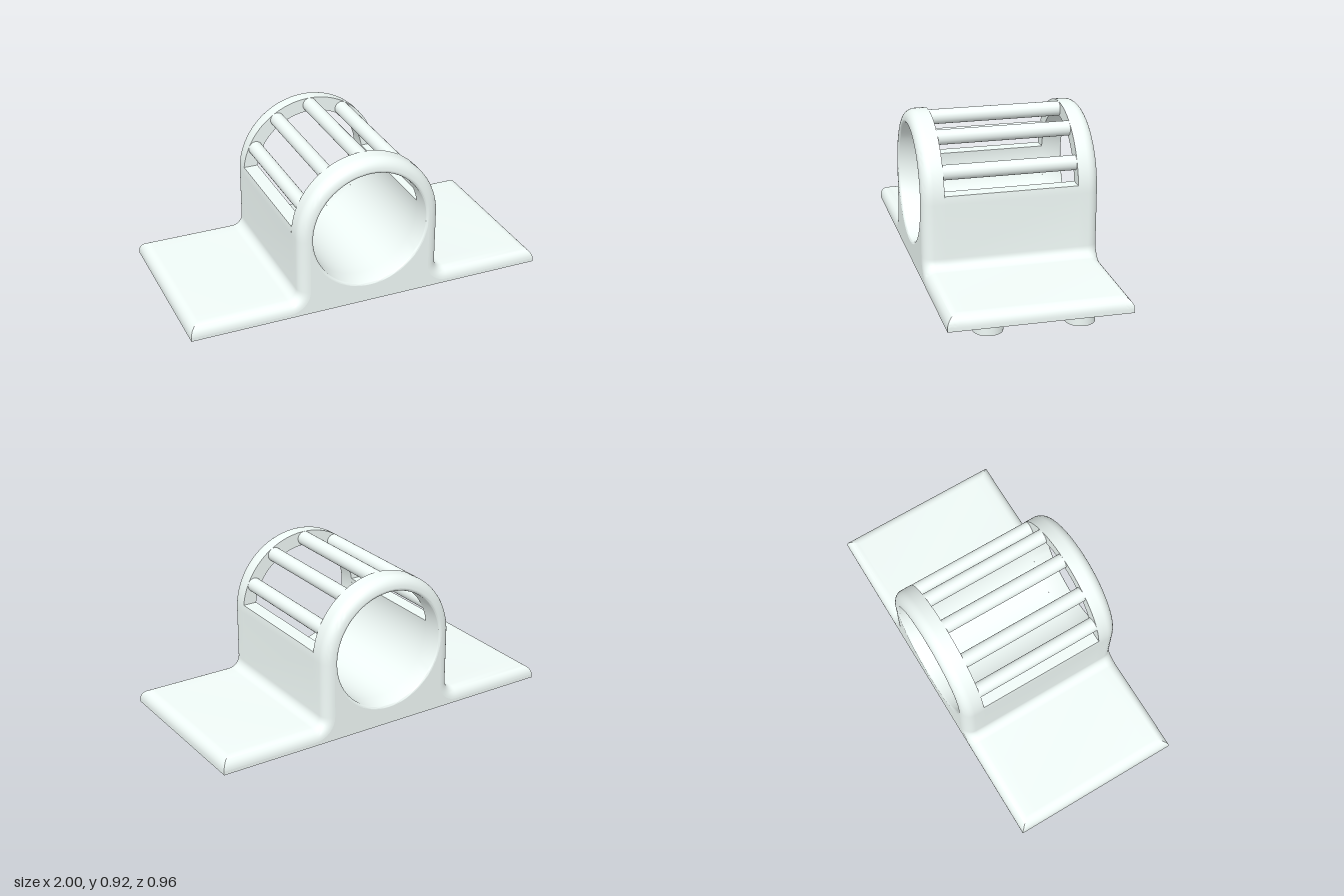
import * as THREE from 'three';
import { toCreasedNormals } from 'three/addons/utils/BufferGeometryUtils.js';

const material = new THREE.MeshStandardMaterial({ color: 0xf0faf7 });
const END = 0.478, SLOT = 0.36;              // half depth, half slot length
const BASE = 0.083, TOP = 0.162;             // plate underside and top
const R = 0.06, FILLET = 0.055, LIP = 0.015; // edge roundings
const CY = 0.515, OUTER = 0.4, BORE = 0.322; // barrel
const SILL = 0.56;                           // top of the side walls

const V = (x, y) => new THREE.Vector2(x, y);

function arc(cx, cy, r, from, to, n) {
  return Array.from({ length: n + 1 }, (_, i) => {
    const a = from + (to - from) * i / n;
    return V(cx + r * Math.cos(a), cy + r * Math.sin(a));
  });
}

// Completes a right-hand half outline with its mirror image
function mirrored(half) {
  const left = half.map(p => V(-p.x, p.y)).reverse();
  return [...half, ...left.filter(p => Math.abs(p.x) > 1e-6)];
}

// Plate end, plate top and fillet up to the barrel wall, inset by d
function plateSide(d) {
  return [
    V(1, BASE),
    ...arc(1 - R, TOP - R, R, 0, Math.asin(1 - d / R), 8),
    ...arc(OUTER + FILLET, TOP + FILLET, FILLET + d, Math.PI * 1.5, Math.PI, 8),
  ];
}

const outline = d => mirrored([...plateSide(d), ...arc(0, CY, OUTER - d, 0, Math.PI / 2, 24)]);
const bore = r => arc(0, CY, r, Math.PI * 2, 0, 72).slice(0, -1);

// Skins a stack of matching closed rings along z
function loft(rings) {
  const pos = [];
  const put = (ring, i) => {
    const p = ring.pts[i % ring.pts.length];
    pos.push(p.x, p.y, ring.z);
  };
  for (let k = 0; k < rings.length - 1; k++) {
    const a = rings[k], b = rings[k + 1];
    for (let i = 0; i < a.pts.length; i++) {
      put(a, i); put(a, i + 1); put(b, i + 1);
      put(a, i); put(b, i + 1); put(b, i);
    }
  }
  const g = new THREE.BufferGeometry();
  g.setAttribute('position', new THREE.Float32BufferAttribute(pos, 3));
  return toCreasedNormals(g, 0.7);
}

function add(parent, name, geometry, x = 0, y = 0, z = 0) {
  const m = new THREE.Mesh(geometry, material);
  m.name = name;
  m.position.set(x, y, z);
  parent.add(m);
  return m;
}

function ringFace(d, r) {
  const shape = new THREE.Shape(outline(d));
  shape.holes.push(new THREE.Path(bore(r)));
  return new THREE.ShapeGeometry(shape);
}

// End section: rounded outer edges, lipped bore, flat faces
function endSection(name) {
  const g = new THREE.Group();
  g.name = name;
  const skin = [{ z: SLOT, pts: outline(0) }];
  const lining = [{ z: SLOT, pts: bore(BORE) }];
  for (let i = 0; i <= 8; i++) {
    const t = i / 8 * Math.PI / 2;
    const inset = Math.min(1 - Math.cos(t), 0.99), rise = Math.sin(t) - 1;
    skin.push({ z: END + R * rise, pts: outline(R * inset) });
    lining.push({ z: END + LIP * rise, pts: bore(BORE + LIP * inset) });
  }
  add(g, 'roundedShell', loft(skin));
  add(g, 'boreLining', loft(lining));
  add(g, 'outerFace', ringFace(R * 0.99, BORE + LIP * 0.99), 0, 0, END);
  add(g, 'innerFace', ringFace(0, BORE), 0, 0, SLOT).rotation.y = Math.PI;
  return g;
}

export function createModel() {
  const model = new THREE.Group();
  model.name = 'slottedBarrelHolder';

  // Front and back ends
  const back = endSection('backEnd');
  back.rotation.y = Math.PI;
  model.add(endSection('frontEnd'), back);

  // Middle section: plate with an open cradle
  const rise = SILL - CY;
  const cradle = mirrored([
    ...plateSide(0),
    ...arc(0, CY, OUTER, 0, Math.asin(rise / OUTER), 3),
    ...arc(0, CY, BORE, Math.asin(rise / BORE), -Math.PI / 2, 36),
  ]);
  const middle = new THREE.ExtrudeGeometry(new THREE.Shape(cradle),
    { depth: SLOT * 2, bevelEnabled: false });
  add(model, 'cradle', toCreasedNormals(middle, 0.7), 0, 0, -SLOT);

  // Round bars over the open top
  const barGeo = new THREE.CylinderGeometry(0.04, 0.04, SLOT * 2 + 0.02, 24, 1, true);
  barGeo.rotateX(Math.PI / 2);
  for (const degrees of [25, 57.5, 90, 122.5, 155]) {
    const a = THREE.MathUtils.degToRad(degrees);
    add(model, 'bar', barGeo, 0.36 * Math.cos(a), CY + 0.36 * Math.sin(a), 0);
  }

  // Feet
  const footHeight = BASE + 0.01;
  const footGeo = new THREE.CylinderGeometry(0.078, 0.078, footHeight, 32);
  for (const x of [-0.84, 0.84])
    for (const z of [-0.24, 0.24]) add(model, 'foot', footGeo, x, footHeight / 2, z);

  return model;
}
